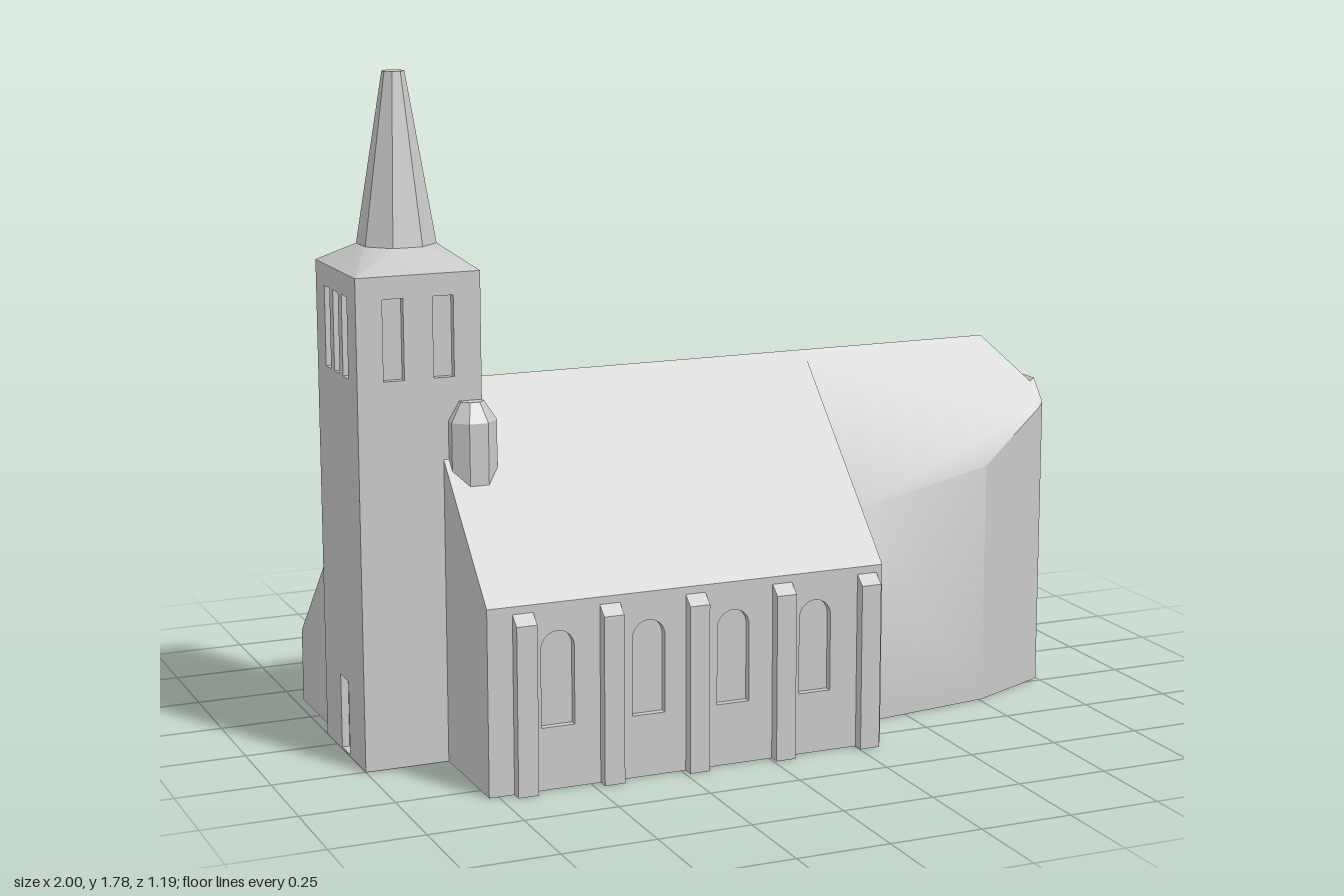
import * as THREE from 'three';
import { toCreasedNormals } from 'three/addons/utils/BufferGeometryUtils.js';
import { ConvexGeometry } from 'three/addons/geometries/ConvexGeometry.js';

const RIDGE_Z = 0.08, RIDGE_Y = 0.98;
const V = (x, y, z) => new THREE.Vector3(x, y, z);

export function createModel() {
  const model = new THREE.Group();
  const stone = new THREE.MeshStandardMaterial({ name: 'pale grey stone', color: 0xc8c8c8 });

  function add(name, geometry, x = 0, y = 0, z = 0, turn = 0) {
    const mesh = new THREE.Mesh(geometry, stone);
    mesh.name = name;
    mesh.position.set(x, y, z);
    mesh.rotation.y = turn;
    model.add(mesh);
    return mesh;
  }

  // Cross-section given as [z, y] pairs, drawn out along x
  function prism(profile, length, holes = []) {
    const toShape = (Type, pts) => new Type(pts.map(([z, y]) => new THREE.Vector2(-z, y)));
    const shape = toShape(THREE.Shape, profile);
    shape.holes = holes.map((pts) => toShape(THREE.Path, pts));
    return new THREE.ExtrudeGeometry(shape, { depth: length, bevelEnabled: false }).rotateY(Math.PI / 2);
  }

  // Upright wall slab pierced by openings {x, y, w, h, arch}
  function wall(width, height, depth, openings) {
    const a = width / 2;
    const shape = new THREE.Shape();
    shape.moveTo(-a, 0).lineTo(a, 0).lineTo(a, height).lineTo(-a, height).closePath();
    for (const o of openings) {
      const r = o.w / 2, top = o.y + o.h;
      const hole = new THREE.Path();
      hole.moveTo(o.x - r, o.y);
      if (o.arch) hole.lineTo(o.x - r, top - r).absarc(o.x, top - r, r, Math.PI, 0, true);
      else hole.lineTo(o.x - r, top).lineTo(o.x + r, top);
      hole.lineTo(o.x + r, o.y);
      shape.holes.push(hole);
    }
    return new THREE.ExtrudeGeometry(shape, { depth, bevelEnabled: false, curveSegments: 12 });
  }

  // Nave: core and gable roof, with recessed side walls under the eaves
  const t = 0.02, front = 0.565, back = -0.41, eave = 0.49, lip = 0.485;
  add('nave', prism([
    [back + t, 0], [front - t, 0], [front - t, lip], [front, lip], [front, eave],
    [RIDGE_Z, RIDGE_Y], [back, eave], [back, lip], [back + t, lip],
  ], 1.1), -0.775);
  const naveX = -0.225;
  const arches = (xs, side) => xs.map((x) => ({ x: (x - naveX) * side, y: 0.165, w: 0.09, h: 0.25, arch: true }));
  add('naveFrontWall', wall(1.1, lip, t, arches([-0.588, -0.34, -0.104, 0.13], 1)), naveX, 0, front - t);
  add('naveBackWall', wall(1.1, lip, t, arches([-0.588, -0.34, -0.104], -1)), naveX, 0, back + t, Math.PI);

  // Buttresses with sloping caps
  function buttress(x, z, side) {
    const out = z + side * 0.03;
    add('buttress', prism([[z, 0], [out, 0], [out, 0.445], [z, 0.47]], 0.055), x - 0.0275);
  }
  for (const x of [-0.68, -0.446, -0.21, 0.035, 0.28]) buttress(x, front, 1);
  for (const x of [-0.68, -0.446, -0.21]) buttress(x, back, -1);

  // Lean-to annexes at the back
  add('sacristy', prism([[-0.595, 0], [-0.4, 0], [-0.4, 0.62], [-0.595, 0.42]], 0.345), -0.02);
  add('westAnnex', prism([[back, 0], [-0.09, 0], [-0.09, 0.53], [back, 0.2]], 0.2), -0.975);

  // Choir: tapering walls, steep roof and hipped end
  const roofY = (x, z) => Math.min(RIDGE_Y - 1.2 * Math.abs(z - RIDGE_Z), RIDGE_Y - 0.96 * Math.max(0, x - 0.88));
  const endX = 0.985;
  const endFace = [[-0.02, 0], [0.225, 0], [0.225, 0.806], [0.176, 0.865], [-0.016, 0.865], [-0.02, 0.86]];
  const widen = (z) => 0.1025 + (z - 0.1025) * 1.085;
  const hull = [V(0.325, RIDGE_Y, RIDGE_Z), V(0.88, RIDGE_Y, RIDGE_Z)];
  for (const [x, z] of [[0.325, 0.4], [0.325, -0.21], [0.76, 0.34], [0.8, -0.19]]) {
    hull.push(V(x, 0, z), V(x, roofY(x, z), z));
  }
  for (const [z, y] of endFace) hull.push(V(endX, y > 0 ? roofY(endX, widen(z)) : 0, widen(z)));
  add('choir', toCreasedNormals(new ConvexGeometry(hull), 0.73));

  // Choir end wall with its window, flared to meet the side walls
  const end = prism(endFace, 0.015, [[[0.045, 0.225], [0.125, 0.225], [0.125, 0.5], [0.045, 0.5]]]);
  const p = end.attributes.position;
  for (let i = 0; i < p.count; i++) {
    const z = p.getZ(i);
    if (p.getX(i) > 0.001 || (z > 0.03 && z < 0.14)) continue;
    p.setZ(i, widen(z));
    if (p.getY(i) > 0.7) p.setY(i, roofY(endX, widen(z)));
  }
  end.computeVertexNormals();
  add('choirEndWall', end, endX);

  // Tower: core with pierced walls on the front, back and west
  const tx = -0.835, tz = 0.08, tw = 0.33, td = 0.345, th = 1.288;
  add('tower', new THREE.BoxGeometry(tw - t, th, td - 2 * t), tx + t / 2, th / 2, tz);
  const slits = (xs, w) => xs.map((x) => ({ x, y: 1.02, w, h: 0.21 }));
  const pair = slits([-0.068, 0.065], 0.055);
  add('towerFrontWall', wall(tw, th, t, pair), tx, 0, tz + td / 2 - t);
  add('towerBackWall', wall(tw, th, t, pair), tx, 0, tz - td / 2 + t, Math.PI);
  add('towerWestWall', wall(td - 2 * t, th, t, [
    ...slits([-0.075, 0, 0.075], 0.045),
    { x: 0, y: 0.005, w: 0.07, h: 0.2 },
  ]), tx - tw / 2 + t, 0, tz, -Math.PI / 2);

  // Tower roof: square eaves drawn in to an octagon, then the spire
  const cap = [];
  for (const sx of [-1, 1]) for (const sz of [-1, 1]) cap.push(V(sx * tw / 2, th, sz * td / 2));
  for (let i = 0; i < 8; i++) {
    const a = (i + 0.5) * Math.PI / 4;
    cap.push(V(0.103 * Math.cos(a), 1.345, 0.103 * Math.sin(a)));
  }
  add('towerRoof', toCreasedNormals(new ConvexGeometry(cap), 0.6), tx, 0, tz);

  function octagon(topR, bottomR, height) {
    const g = new THREE.CylinderGeometry(topR, bottomR, height, 8).rotateY(Math.PI / 8).toNonIndexed();
    g.computeVertexNormals();
    return g;
  }
  add('spire', octagon(0.029, 0.103, 0.44), tx, 1.565, tz);

  // Stair turret beside the tower
  add('turret', octagon(0.066, 0.066, 0.225), -0.7, 0.7925, 0.253);
  add('turretRoof', octagon(0.034, 0.066, 0.05), -0.7, 0.93, 0.253);

  return model;
}
